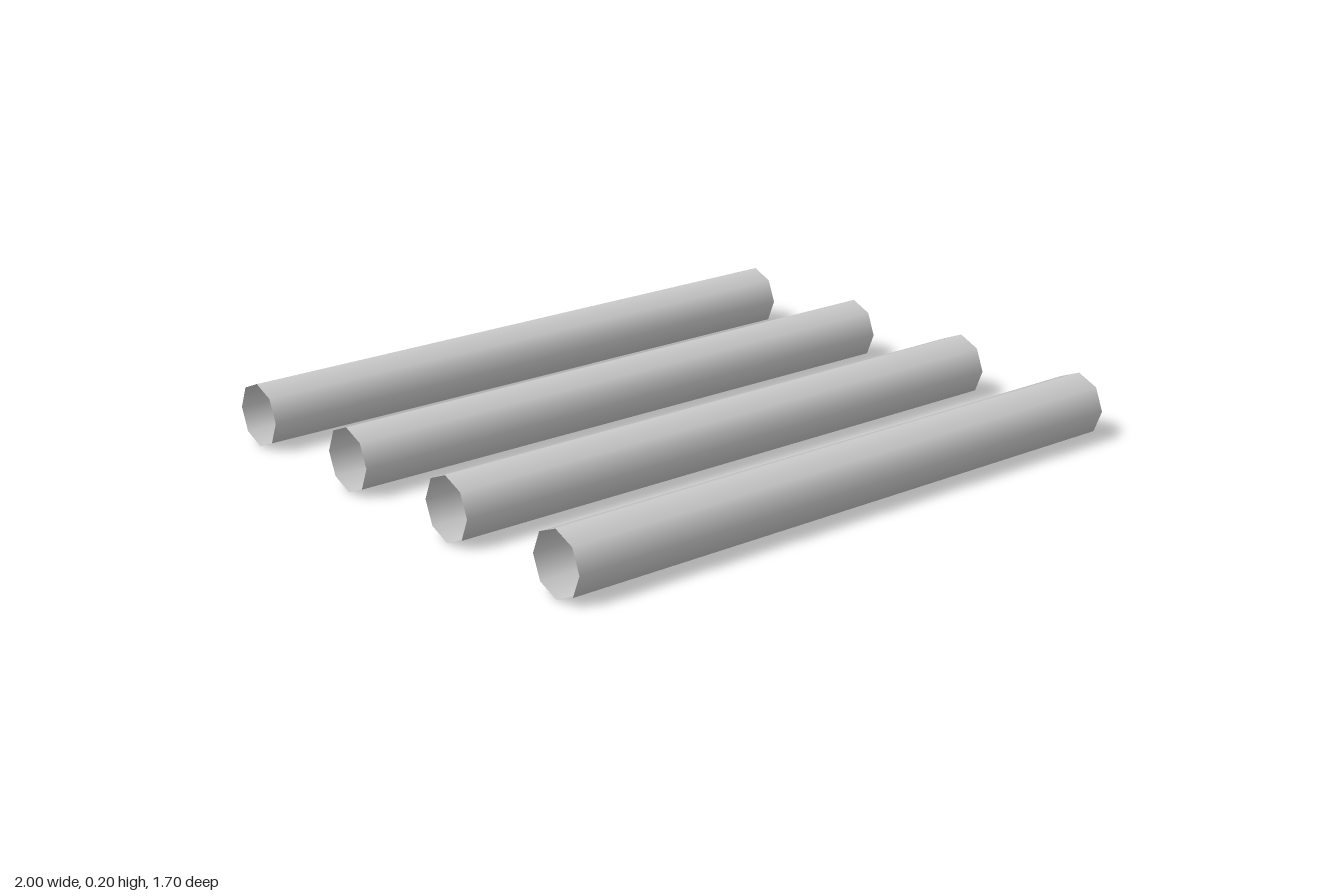
import * as THREE from 'three';

export function createModel() {
  const model = new THREE.Group();
  model.name = 'parallelTubes';

  const radius = 0.1, length = 2, spacing = 0.5, count = 4;
  const material = new THREE.MeshStandardMaterial({ color: 0xcccccc, side: THREE.DoubleSide });

  // Thin-walled eight-sided tube, open at both ends, lying along x
  const tube = new THREE.CylinderGeometry(radius, radius, length, 8, 1, true);
  tube.rotateZ(Math.PI / 2);

  // Evenly spaced row from back to front
  for (let i = 0; i < count; i++) {
    const mesh = new THREE.Mesh(tube, material);
    mesh.name = `tube${i + 1}`;
    mesh.position.set(0, radius, (i - (count - 1) / 2) * spacing);
    model.add(mesh);
  }
  return model;
}
